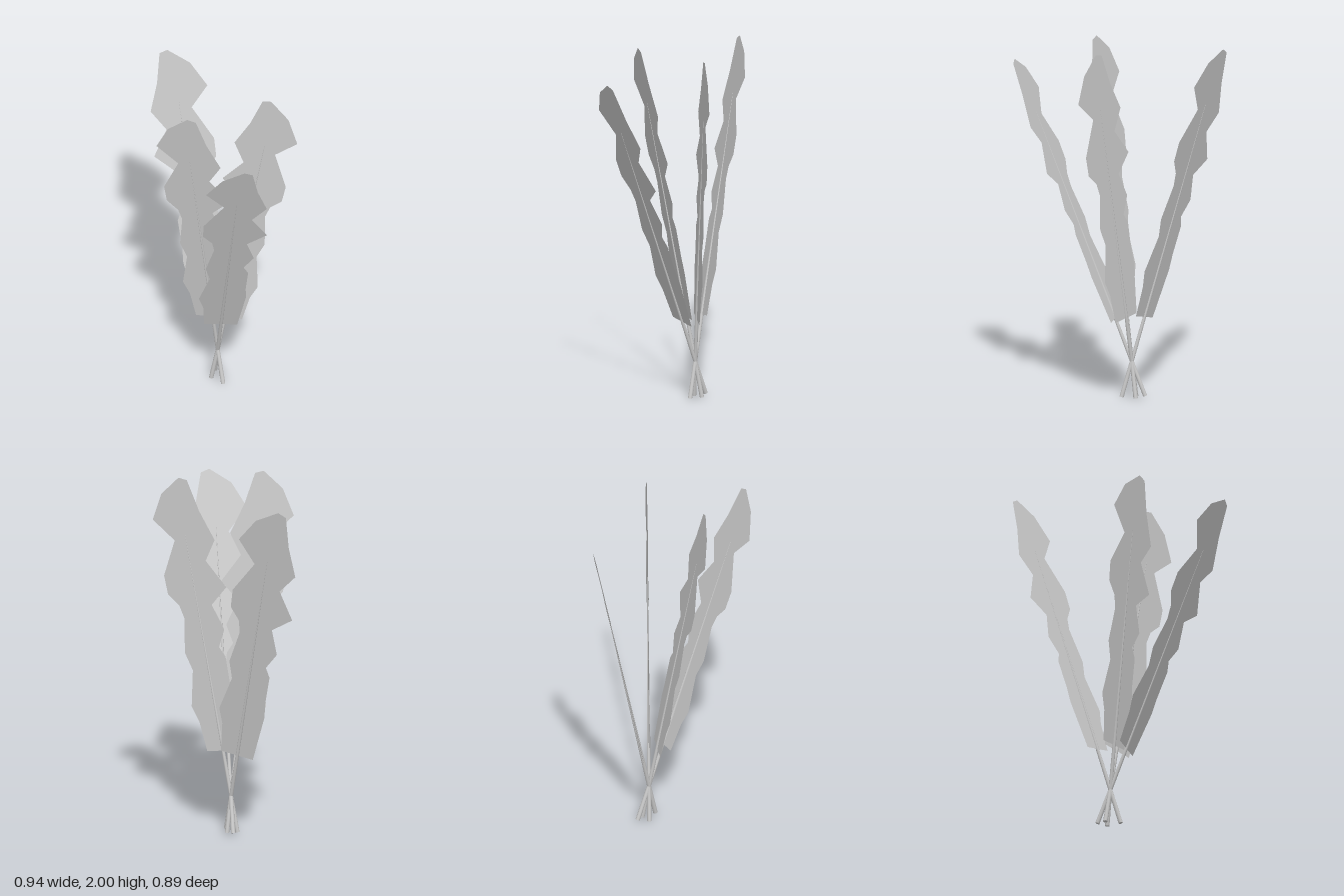
import * as THREE from 'three';

// Lobed leaf outline: x across the stem, y along it from the crossing point
const RIGHT_EDGE = [
  [0.09, 0.254], [0.119, 0.534], [0.111, 0.622], [0.113, 0.787], [0.084, 0.843],
  [0.134, 0.94], [0.085, 1.085], [0.19, 1.177], [0.095, 1.336], [0.17, 1.449],
  [0.108, 1.62], [0.067, 1.8], [0.02, 1.818],
];
const LEFT_EDGE = [
  [-0.098, 1.736], [-0.177, 1.595], [-0.068, 1.466], [-0.168, 1.274], [-0.164, 1.165],
  [-0.108, 1.095], [-0.092, 1.023], [-0.125, 0.828], [-0.096, 0.726], [-0.141, 0.522],
  [-0.111, 0.432], [-0.095, 0.262],
];

// Point where all four stems cross
const CROSSING = new THREE.Vector3(0.005, 0.21, -0.125);
const STEM_BOTTOM = -0.208;
const STEM_TOP = 1.5;

// Stem direction and leaf width direction of each stalk
const STALKS = [
  { name: 'backRightStalk', along: [-0.213, 0.96, -0.177], across: [-0.972, -0.189, 0.14] },
  { name: 'middleStalk', along: [-0.05, 0.984, 0.172], across: [0.988, 0.075, -0.138] },
  { name: 'frontLeftStalk', along: [0.182, 0.934, 0.308], across: [0.913, -0.05, -0.395] },
  { name: 'leftStalk', along: [0.183, 0.983, 0], across: [-0.983, 0.183, 0] },
];

export function createModel() {
  const model = new THREE.Group();
  model.name = 'leafBunch';

  const stemMaterial = new THREE.MeshStandardMaterial({ color: 0xcccccc });
  const leafMaterial = new THREE.MeshStandardMaterial({ color: 0xcccccc, side: THREE.DoubleSide });

  // Flat leaf blade
  const outline = [...RIGHT_EDGE, ...LEFT_EDGE].map(([x, y]) => new THREE.Vector2(x, y));
  const leafGeometry = new THREE.ShapeGeometry(new THREE.Shape(outline));

  // Tapered stem running up the middle of the blade
  const stemGeometry = new THREE.CylinderGeometry(0.001, 0.0125, STEM_TOP - STEM_BOTTOM, 8);
  stemGeometry.translate(0, (STEM_TOP + STEM_BOTTOM) / 2, 0);

  for (const { name, along, across } of STALKS) {
    const y = new THREE.Vector3(...along).normalize();
    const x = new THREE.Vector3(...across);
    x.addScaledVector(y, -x.dot(y)).normalize();
    const z = new THREE.Vector3().crossVectors(x, y);

    const stalk = new THREE.Group();
    stalk.name = name;
    stalk.quaternion.setFromRotationMatrix(new THREE.Matrix4().makeBasis(x, y, z));
    stalk.position.copy(CROSSING);

    const leaf = new THREE.Mesh(leafGeometry, leafMaterial);
    leaf.name = 'leaf';
    const stem = new THREE.Mesh(stemGeometry, stemMaterial);
    stem.name = 'stem';
    stalk.add(leaf, stem);
    model.add(stalk);
  }
  return model;
}
